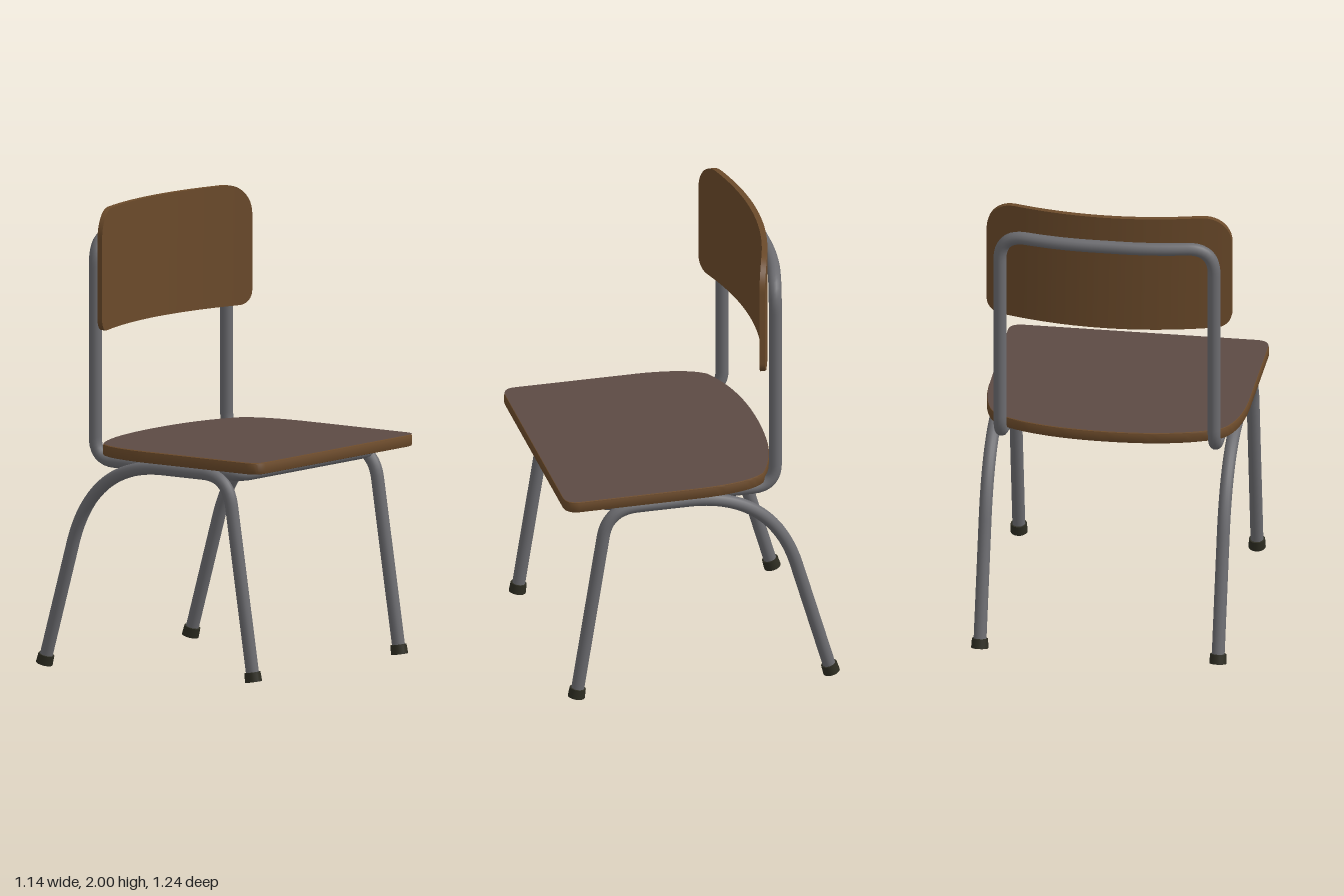
import * as THREE from 'three';
import { toCreasedNormals } from 'three/addons/utils/BufferGeometryUtils.js';

const V = (x, y, z) => new THREE.Vector3(x, y, z);
const TUBE_R = 0.028;

function material(name, color) {
  const m = new THREE.MeshStandardMaterial({ color });
  m.name = name;
  return m;
}

// Polyline whose inner corners are rounded; radii[i] is the tangent length at points[i]
function roundedPath(points, radii) {
  const path = new THREE.CurvePath();
  let from = points[0];
  for (let i = 1; i < points.length - 1; i++) {
    const p = points[i];
    const toward = q => q.clone().sub(p).setLength(radii[i]).add(p);
    const a = toward(points[i - 1]);
    const b = toward(points[i + 1]);
    if (a.distanceTo(from) > 0.002) path.add(new THREE.LineCurve3(from, a));
    path.add(new THREE.QuadraticBezierCurve3(a, p, b));
    from = b;
  }
  path.add(new THREE.LineCurve3(from, points[points.length - 1]));
  return path;
}

// Seat outline, front edge at negative shape y
function seatShape(inset) {
  const w = 0.568 - inset, f = -0.608 + inset, b = 0.39 - inset, r = 0.06;
  const s = new THREE.Shape();
  s.moveTo(-w + r, f);
  s.lineTo(w - r, f);
  s.quadraticCurveTo(w, f, w, f + r);
  s.lineTo(w - 0.002, 0);
  s.bezierCurveTo(w - 0.006, 0.13, w - 0.03, 0.24, w - 0.08, 0.29 - inset);
  s.bezierCurveTo(0.36, 0.36 - inset, 0.2, b, 0, b);
  s.bezierCurveTo(-0.2, b, -0.36, 0.36 - inset, -w + 0.08, 0.29 - inset);
  s.bezierCurveTo(-w + 0.03, 0.24, -w + 0.006, 0.13, -w + 0.002, 0);
  s.lineTo(-w, f + r);
  s.quadraticCurveTo(-w, f, -w + r, f);
  return s;
}

// Curved board: a box whose columns follow rounded corners and a bowed plan
function backrestGeometry() {
  const half = 0.532, top = 2.0, bottom = 1.475, thick = 0.025;
  const geo = new THREE.BoxGeometry(2, 2, 2, 48, 1, 1);
  const pos = geo.attributes.position;
  const cut = (x, r) => {
    const d = Math.max(0, Math.abs(x) - (half - r));
    return r - Math.sqrt(Math.max(0, r * r - d * d));
  };
  for (let i = 0; i < pos.count; i++) {
    const x = half * Math.sin(pos.getX(i) * Math.PI / 2);
    const y = pos.getY(i) > 0 ? top - cut(x, 0.13) : bottom + cut(x, 0.06);
    const z = -0.37 + 0.1 * (x / half) ** 2 + pos.getZ(i) * thick / 2;
    pos.setXYZ(i, x, y, z);
  }
  return toCreasedNormals(geo, 0.6);
}

export function createModel() {
  const wood = material('brown wood', 0x6b4a2a);
  const seatTop = material('seat laminate', 0x5c4a44);
  const metal = material('grey metal', 0x6c6c70);
  const rubber = material('dark rubber', 0x2e2d22);

  const model = new THREE.Group();
  model.name = 'chair';
  const add = (name, geo, mat, parent = model) => {
    const mesh = new THREE.Mesh(geo, mat);
    mesh.name = name;
    parent.add(mesh);
    return mesh;
  };

  // Seat board with softened edges and a thin coloured face on top
  const bevel = 0.008;
  const board = new THREE.ExtrudeGeometry(seatShape(bevel), {
    depth: 0.05 - 2 * bevel, bevelEnabled: true, bevelSize: bevel,
    bevelThickness: bevel, bevelSegments: 2, curveSegments: 14,
  });
  board.rotateX(-Math.PI / 2);
  add('seat', toCreasedNormals(board, 0.6), wood).position.y = 0.935 + bevel;
  const face = new THREE.ShapeGeometry(seatShape(0.003), 14);
  face.rotateX(-Math.PI / 2);
  add('seatSurface', face, seatTop).position.y = 0.9865;

  add('backrest', backrestGeometry(), wood);

  // Closed tube loop: under the seat, up the back and behind the backrest
  const side = [
    [V(0.465, 0.91, 0.44), 0.07],
    [V(0.465, 0.91, -0.345), 0.1],
    [V(0.465, 1.87, -0.345), 0.12],
    [V(0.2, 1.87, -0.4), 0.14],
  ];
  const mirrored = side.map(([p, r]) => [V(-p.x, p.y, p.z), r]).reverse();
  const start = [V(0, 0.91, 0.44), 0];
  const loop = [start, ...side, ...mirrored, start];
  const framePath = roundedPath(loop.map(e => e[0]), loop.map(e => e[1]));
  add('backFrame', new THREE.TubeGeometry(framePath, 260, TUBE_R, 14, true), metal);

  // Each side: one bent tube forming the front and rear leg, with rubber feet
  for (const [label, x] of [['left', 0.517], ['right', -0.517]]) {
    const legs = new THREE.Group();
    legs.name = label + 'Legs';
    model.add(legs);
    const pts = [V(x, 0.05, 0.546), V(x, 0.91, 0.41), V(x, 0.91, -0.32), V(x, 0.03, -0.575)];
    const path = roundedPath(pts, [0, 0.13, 0.38, 0]);
    add(label + 'LegTube', new THREE.TubeGeometry(path, 120, TUBE_R, 14), metal, legs);
    for (const [name, end, inner] of [['FrontFoot', pts[0], pts[1]], ['RearFoot', pts[3], pts[2]]]) {
      const dir = inner.clone().sub(end).normalize();
      const foot = add(label + name, new THREE.CylinderGeometry(0.035, 0.037, 0.042, 18), rubber, legs);
      foot.position.copy(end);
      foot.quaternion.setFromUnitVectors(V(0, 1, 0), dir);
    }
  }

  // Slight turn of the whole chair
  model.rotation.y = -0.013;
  model.position.x = 0.005;
  const root = new THREE.Group();
  root.name = 'schoolChair';
  root.add(model);
  return root;
}
